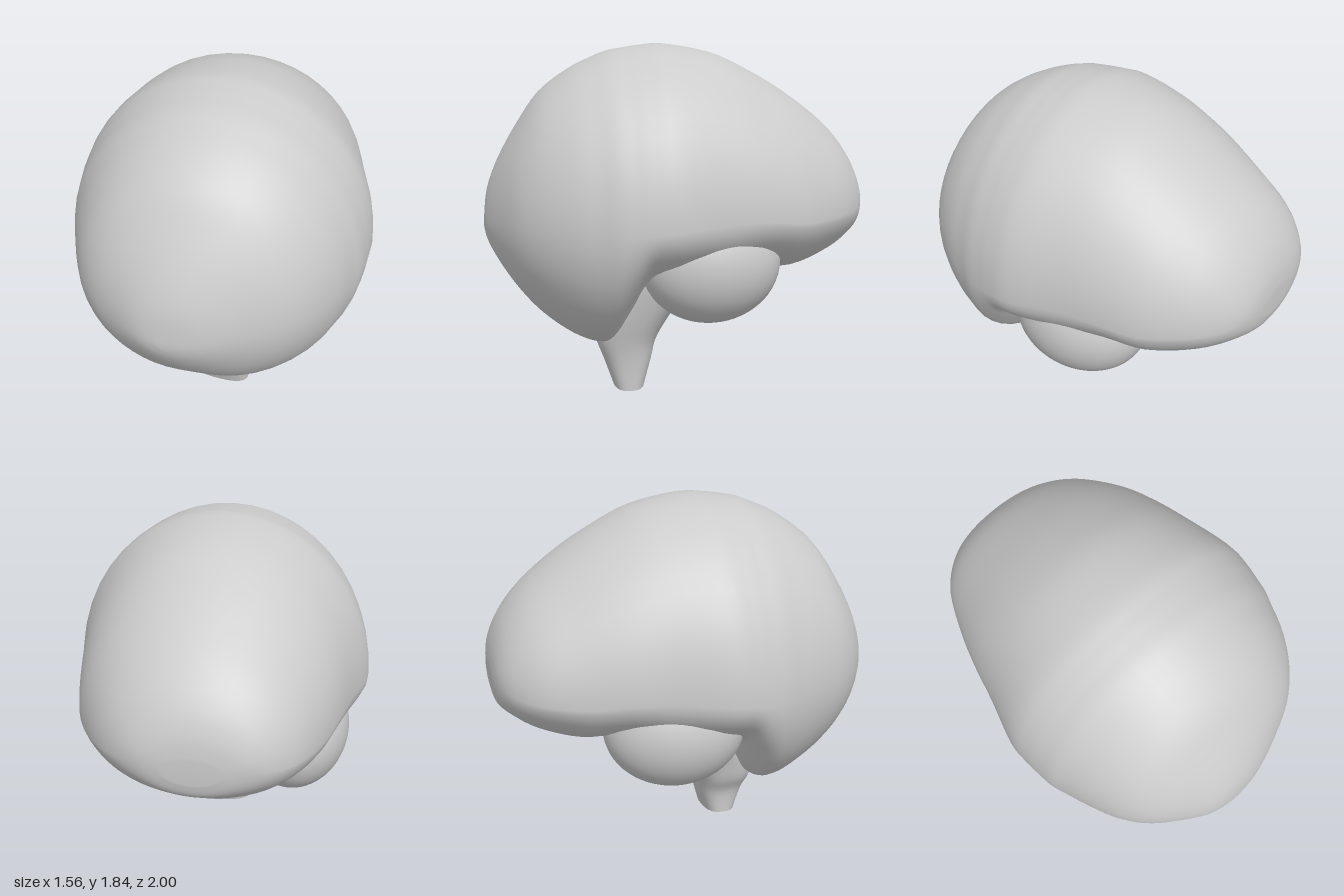
import * as THREE from 'three';

const SIDES = 48;

// Skin consecutive rings of points into one smooth closed surface.
function loft(rings) {
  const pos = [], index = [], n = rings[0].length;
  rings.forEach(r => r.forEach(p => pos.push(...p)));
  for (let i = 0; i < rings.length - 1; i++) {
    for (let j = 0; j < n; j++) {
      const a = i * n + j, b = i * n + (j + 1) % n;
      index.push(a, a + n, b, b, a + n, b + n);
    }
  }
  const g = new THREE.BufferGeometry();
  g.setAttribute('position', new THREE.Float32BufferAttribute(pos, 3));
  g.setIndex(index);
  g.computeVertexNormals();
  return g;
}

// Catmull-Rom refinement of a table of section parameters.
function refine(rows, steps) {
  const out = [], at = i => rows[Math.min(Math.max(i, 0), rows.length - 1)];
  for (let i = 0; i < rows.length - 1; i++) {
    for (let s = 0; s < steps; s++) {
      const t = s / steps;
      out.push(rows[i].map((p1, k) => {
        const p0 = at(i - 1)[k], p2 = at(i + 1)[k], p3 = at(i + 2)[k];
        return p1 + 0.5 * t * (p2 - p0 + t * (2 * p0 - 5 * p1 + 4 * p2 - p3 + t * (3 * (p1 - p2) + p3 - p0)));
      }));
    }
  }
  out.push(rows[rows.length - 1]);
  return out;
}

const ring = f => Array.from({ length: SIDES }, (_, j) => f(j / SIDES * Math.PI * 2));

export function createModel() {
  const group = new THREE.Group();
  const grey = new THREE.MeshStandardMaterial({ color: 0xcccccc });
  grey.name = 'pale grey';
  const add = (geometry, name) => {
    const mesh = new THREE.Mesh(geometry, grey);
    mesh.name = name;
    group.add(mesh);
    return mesh;
  };

  // Cerebrum and cerebellum: z, top, bottom, half width, widest height, x shift, underside power
  const sections = refine([
    [1.00, 0.93, 0.88, 0.05, 0.91, -0.07, 1],
    [0.98, 1.09, 0.81, 0.16, 0.93, -0.06, 1],
    [0.92, 1.25, 0.70, 0.30, 0.95, -0.04, 1],
    [0.82, 1.43, 0.56, 0.47, 0.97, -0.02, 1],
    [0.70, 1.60, 0.43, 0.585, 0.98, -0.01, 1],
    [0.55, 1.715, 0.32, 0.67, 0.98, 0, 1],
    [0.42, 1.78, 0.27, 0.72, 0.97, 0, 1],
    [0.34, 1.81, 0.30, 0.75, 0.96, 0, 1],
    [0.26, 1.825, 0.44, 0.765, 0.96, 0, 1],
    [0.18, 1.837, 0.60, 0.775, 0.97, 0, 1],
    [0.05, 1.845, 0.63, 0.775, 0.98, 0, 1],
    [-0.20, 1.80, 0.65, 0.71, 1.0, 0, 1],
    [-0.40, 1.71, 0.67, 0.665, 1.0, 0, 1.1],
    [-0.60, 1.59, 0.66, 0.605, 0.98, 0, 1.2],
    [-0.80, 1.44, 0.73, 0.50, 0.99, -0.02, 1.2],
    [-0.92, 1.30, 0.81, 0.38, 1.0, -0.03, 1.1],
    [-0.98, 1.17, 0.86, 0.26, 1.02, -0.03, 1],
    [-1.00, 1.06, 0.93, 0.14, 1.0, -0.03, 1],
  ], 4);
  const rings = sections.map(([z, top, bottom, w, mid, cx, p]) => ring(a => {
    const s = Math.sin(a), x = Math.cos(a) * w;
    let y = s > 0 ? mid + (top - mid) * s : mid - (mid - bottom) * Math.pow(-s, p);
    // Shallow midline hollow between the cerebellar halves
    if (s < 0 && z > 0.3) y += 0.07 * s * s * Math.exp(-x * x / 0.02) * Math.min(1, (z - 0.3) * 5) * Math.max(0, 1 - z);
    return [cx + x, y, z];
  }));
  const tip = (x, y, z) => ring(() => [x, y, z]);
  add(loft([tip(-0.07, 0.91, 1), ...rings, tip(-0.03, 1, -1)]), 'cerebrum');

  // Temporal lobes
  for (const side of [1, -1]) {
    const lobe = add(new THREE.SphereGeometry(1, 40, 28), side > 0 ? 'leftTemporalLobe' : 'rightTemporalLobe');
    lobe.scale.set(0.27, 0.31, 0.36);
    lobe.position.set(side * 0.43, 0.765, -0.14);
    lobe.rotation.y = side * 0.15;
  }

  // Brain stem: height, rear-facing limit, front-facing limit, half width, x shift
  const stem = refine([
    [0.78, -0.18, 0.36, 0.30, 0],
    [0.60, -0.11, 0.36, 0.28, 0],
    [0.50, -0.05, 0.38, 0.26, 0],
    [0.38, 0.03, 0.42, 0.23, 0],
    [0.27, 0.09, 0.42, 0.20, 0],
    [0.16, 0.12, 0.38, 0.165, 0.015],
    [0.02, 0.16, 0.33, 0.155, 0.015],
  ], 4).map(([y, back, front, w, cx]) => ring(a => {
    const c = Math.cos(a), s = -Math.sin(a);
    const square = v => Math.sign(v) * Math.pow(Math.abs(v), 0.75);
    const x = cx + w * square(c);
    // The cut end slopes down toward the left
    const slope = -0.12 * (x - cx) * Math.max(0, 1 - y / 0.25);
    return [x, y + slope, (back + front) / 2 + (front - back) / 2 * square(s)];
  }));
  add(loft([...stem, stem[stem.length - 1], tip(0.015, 0.02, 0.245)]), 'brainStem');

  return group;
}
